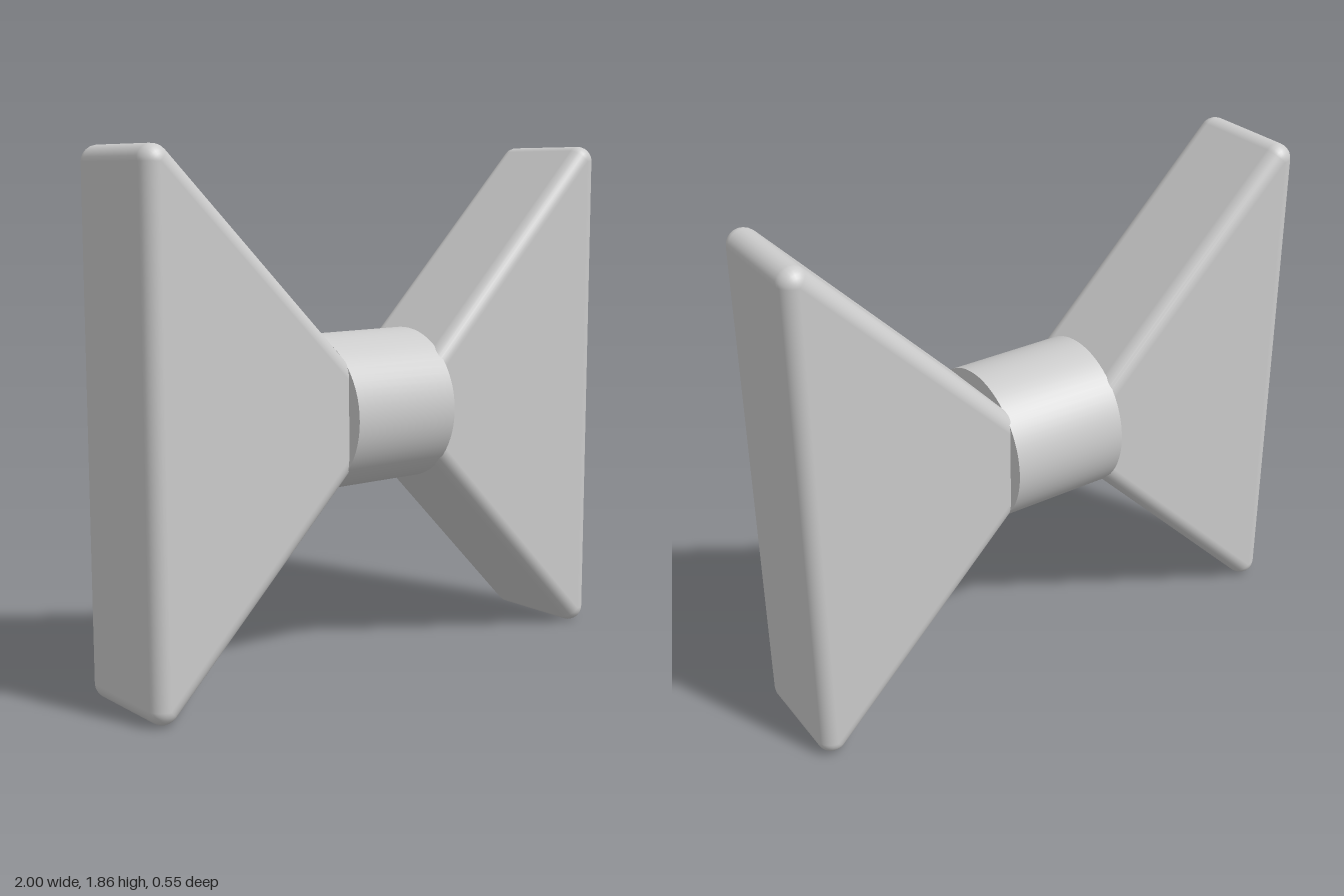
import * as THREE from 'three';

const material = new THREE.MeshStandardMaterial({ color: 0xcccccc });

// Triangular prism with all edges rounded: a counter-clockwise triangle of
// corner centres, swept by a ball of radius r over the depth -halfZ..halfZ.
function roundedPrism(corners, halfZ, r, steps = 8) {
  const pos = [], nor = [], idx = [];
  const n = corners.length;

  // outline: an arc of directions around every corner
  const outline = [];
  const edgeAngle = (i) => {
    const a = corners[i % n], b = corners[(i + 1) % n];
    return Math.atan2(-(b[0] - a[0]), b[1] - a[1]);
  };
  for (let i = 0; i < n; i++) {
    const from = edgeAngle(i + n - 1);
    let to = edgeAngle(i);
    while (to < from) to += Math.PI * 2;
    for (let s = 0; s <= steps; s++) outline.push([corners[i], from + (to - from) * s / steps]);
  }

  // rings from the back face, round the edge, across the side, to the front face
  const rings = [];
  for (const side of [-1, 1]) {
    for (let s = 0; s <= steps; s++) {
      const t = s / steps * Math.PI / 2;
      rings.push([side * (halfZ - r), side < 0 ? t - Math.PI / 2 : t]);
    }
  }
  for (const [z, phi] of rings) {
    for (const [c, a] of outline) {
      const d = [Math.cos(a) * Math.cos(phi), Math.sin(a) * Math.cos(phi), Math.sin(phi)];
      pos.push(c[0] + r * d[0], c[1] + r * d[1], z + r * d[2]);
      nor.push(...d);
    }
  }
  const m = outline.length;
  for (let k = 0; k < rings.length - 1; k++) {
    for (let i = 0; i < m; i++) {
      const j = (i + 1) % m;
      const a = k * m + i, b = k * m + j;
      idx.push(a, b, b + m, a, b + m, a + m);
    }
  }

  // flat front and back faces
  for (const side of [-1, 1]) {
    const base = pos.length / 3;
    for (const c of corners) {
      pos.push(c[0], c[1], side * halfZ);
      nor.push(0, 0, side);
    }
    if (side > 0) idx.push(base, base + 1, base + 2);
    else idx.push(base, base + 2, base + 1);
  }

  const geometry = new THREE.BufferGeometry();
  geometry.setAttribute('position', new THREE.Float32BufferAttribute(pos, 3));
  geometry.setAttribute('normal', new THREE.Float32BufferAttribute(nor, 3));
  geometry.setIndex(idx);
  return geometry;
}

export function createModel() {
  const group = new THREE.Group();
  const add = (name, geometry, y) => {
    const mesh = new THREE.Mesh(geometry, material);
    mesh.name = name;
    mesh.position.y = y;
    group.add(mesh);
    return mesh;
  };

  // central knot: a cylinder lying along x
  add('centreKnot', new THREE.CylinderGeometry(0.275, 0.275, 0.435, 64).rotateZ(Math.PI / 2), 0.93);

  // flared wings, their tips buried in the knot
  const r = 0.055;
  const wing = (half) => roundedPrism([[0.08, 0], [1 - r, -half], [1 - r, half]], 0.218, r);
  add('leftWing', wing(0.876), 0.932);
  add('rightWing', wing(0.868), 0.927).rotation.y = Math.PI;

  return group;
}
